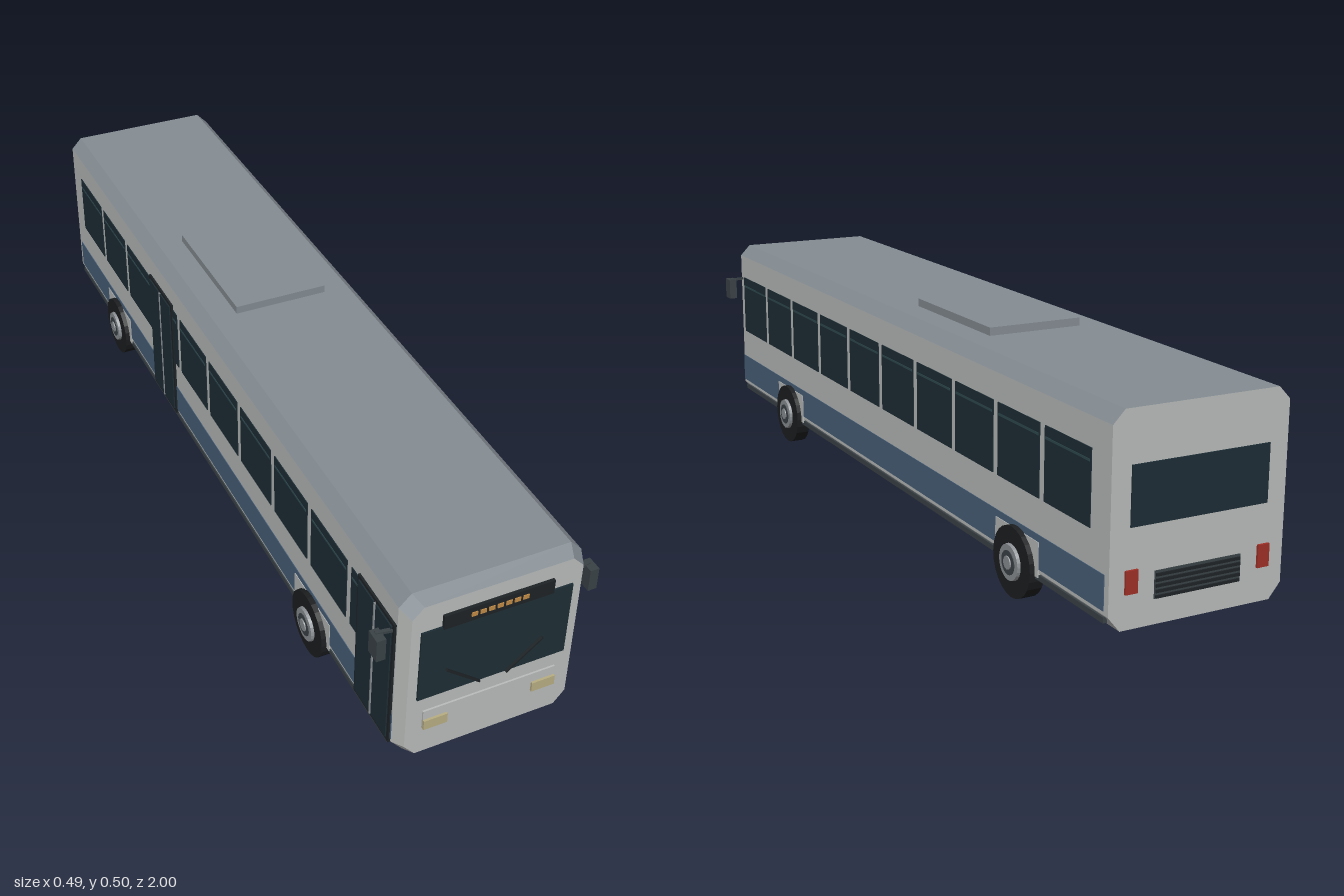
import * as THREE from 'three';

const mat = (color) => new THREE.MeshStandardMaterial({ color, flatShading: true });
const PAINT = mat(0xb9bcba), ROOF = mat(0x848c92), DARK = mat(0x1e2326), GLASS = mat(0x1d2d35),
  BLUE = mat(0x48607a), TRIM = mat(0x3a4246), STEEL = mat(0x8c9094), LAMP = mat(0xb8ad82),
  AMBER = mat(0xc08a45), RED = mat(0xa03028), RUBBER = mat(0x1c1e20), VENT = mat(0x2f4a50);

function add(parent, name, geometry, material, x = 0, y = 0, z = 0) {
  const mesh = new THREE.Mesh(geometry, material);
  mesh.name = name;
  mesh.position.set(x, y, z);
  parent.add(mesh);
  return mesh;
}

// Box given by its minimum and maximum on each axis
function box(parent, name, material, [x0, x1], [y0, y1], [z0, z1]) {
  const g = new THREE.BoxGeometry(Math.abs(x1 - x0), y1 - y0, z1 - z0);
  return add(parent, name, g, material, (x0 + x1) / 2, (y0 + y1) / 2, (z0 + z1) / 2);
}

// Octagonal body section, counter-clockwise seen from the front
const SECTION = [[-0.172, 0.048], [0.172, 0.048], [0.198, 0.08], [0.198, 0.45],
  [0.172, 0.477], [-0.172, 0.477], [-0.198, 0.45], [-0.198, 0.08]];
const ring = (z, sx = 1, sy = 1) => SECTION.map(([x, y]) => [x * sx, 0.263 + (y - 0.263) * sy, z]);
const RINGS = [ring(-0.995), ring(0.955), ring(0.986, 0.935, 0.94)];

// Skin strips along the chosen section edges
function skin(edges) {
  const pos = [];
  for (let r = 0; r < RINGS.length - 1; r++) {
    for (const e of edges) {
      const n = (e + 1) % 8;
      const a = RINGS[r][e], b = RINGS[r][n], c = RINGS[r + 1][n], d = RINGS[r + 1][e];
      pos.push(...a, ...b, ...c, ...a, ...c, ...d);
    }
  }
  const g = new THREE.BufferGeometry();
  g.setAttribute('position', new THREE.Float32BufferAttribute(pos, 3));
  g.computeVertexNormals();
  return g;
}

function cap(points, flip) {
  const g = new THREE.ShapeGeometry(new THREE.Shape(points.map(([x, y]) => new THREE.Vector2(x, y))));
  if (flip) g.rotateY(Math.PI);
  return g;
}

function buildBody(bus) {
  const body = new THREE.Group();
  body.name = 'body';
  bus.add(body);
  add(body, 'sidePanels', skin([1, 2, 6, 7]), PAINT);
  add(body, 'roof', skin([3, 4, 5]), ROOF);
  add(body, 'underside', skin([0]), DARK);
  add(body, 'frontPanel', cap(RINGS[2]), PAINT, 0, 0, 0.986);
  add(body, 'rearPanel', cap(RINGS[0], true), PAINT, 0, 0, -0.995);
  box(body, 'roofUnit', ROOF, [-0.112, 0.112], [0.47, 0.495], [-0.375, -0.025]);
}

// Stripe, windows and skirt on one side
function buildSide(bus, s) {
  const side = new THREE.Group();
  side.name = s > 0 ? 'leftSide' : 'rightSide';
  bus.add(side);
  const x = (out) => [s * 0.19, s * out];
  box(side, 'stripe', BLUE, x(0.1995), [0.088, 0.16], [-0.98, 0.955]);
  box(side, 'skirtRail', TRIM, x(0.199), [0.064, 0.076], [-0.98, 0.94]);
  for (let i = 0; i < 10; i++) {
    const z = 0.848 - i * 0.188;
    box(side, 'window', GLASS, x(0.2), [0.235, 0.39], [z - 0.084, z + 0.084]);
    box(side, 'windowVentBar', VENT, x(0.201), [0.363, 0.368], [z - 0.08, z + 0.08]);
  }
}

// Two-leaf door on the right side
function buildDoor(bus, zMid) {
  const door = new THREE.Group();
  door.name = 'door';
  bus.add(door);
  box(door, 'doorFrame', DARK, [-0.203, -0.185], [0.077, 0.403], [zMid - 0.077, zMid + 0.077]);
  for (const d of [-1, 1]) {
    const z = zMid + d * 0.037;
    box(door, 'doorLeaf', GLASS, [-0.206, -0.2], [0.087, 0.395], [z - 0.032, z + 0.032]);
  }
  box(door, 'doorSeal', STEEL, [-0.207, -0.2], [0.085, 0.395], [zMid - 0.002, zMid + 0.002]);
}

function buildWheel(bus, s, z) {
  box(bus, 'archPanel', PAINT, [s * 0.19, s * 0.201], [0.07, 0.145], [z - 0.088, z + 0.088]);
  const wheel = new THREE.Group();
  wheel.name = 'wheel';
  wheel.position.set(s * 0.195, 0.076, z);
  wheel.rotation.z = -s * Math.PI / 2;
  bus.add(wheel);
  add(wheel, 'tyre', new THREE.CylinderGeometry(0.076, 0.076, 0.034, 24), RUBBER);
  add(wheel, 'rim', new THREE.CylinderGeometry(0.038, 0.04, 0.01, 24), STEEL, 0, 0.019, 0);
  add(wheel, 'hubRecess', new THREE.CylinderGeometry(0.026, 0.026, 0.002, 20), TRIM, 0, 0.0245, 0);
  add(wheel, 'hubCap', new THREE.CylinderGeometry(0.014, 0.016, 0.008, 16), STEEL, 0, 0.024, 0);
}

function buildFront(bus) {
  const front = new THREE.Group();
  front.name = 'front';
  bus.add(front);
  box(front, 'windscreen', GLASS, [-0.165, 0.165], [0.218, 0.4], [0.975, 0.99]);
  box(front, 'destinationSign', DARK, [-0.12, 0.12], [0.396, 0.43], [0.975, 0.993]);
  for (let i = -3; i <= 3; i++) {
    const x = i * 0.0186;
    box(front, 'signSegment', AMBER, [x - 0.0065, x + 0.0065], [0.408, 0.418], [0.985, 0.995]);
  }
  box(front, 'bumperPanel', PAINT, [-0.149, 0.149], [0.135, 0.18], [0.975, 0.99]);
  for (const s of [-1, 1]) {
    box(front, 'headlight', LAMP, [s * 0.096, s * 0.149], [0.133, 0.157], [0.975, 0.995]);
    const wiper = add(front, 'wiper', new THREE.BoxGeometry(0.1, 0.004, 0.006), DARK, s * 0.068, 0.251, 0.993);
    wiper.rotation.z = s * Math.atan2(0.064, 0.077);
    // Mirror on its arm
    const arm = add(front, 'mirrorArm', new THREE.BoxGeometry(0.046, 0.006, 0.008), TRIM, s * 0.214, 0.385, 0.942);
    arm.rotation.y = s * 0.15;
    box(front, 'mirror', TRIM, [s * 0.224, s * 0.244], [0.333, 0.386], [0.928, 0.962]);
  }
}

function buildRear(bus) {
  const rear = new THREE.Group();
  rear.name = 'rear';
  bus.add(rear);
  box(rear, 'rearWindow', GLASS, [-0.155, 0.155], [0.25, 0.37], [-0.998, -0.985]);
  for (const s of [-1, 1]) {
    box(rear, 'tailLight', RED, [s * 0.137, s * 0.164], [0.12, 0.167], [-1, -0.985]);
  }
  box(rear, 'engineGrille', TRIM, [-0.098, 0.098], [0.1, 0.156], [-0.997, -0.985]);
  for (let i = 0; i < 5; i++) {
    const y = 0.104 + i * 0.011;
    box(rear, 'grilleSlat', DARK, [-0.096, 0.096], [y - 0.003, y + 0.003], [-1, -0.99]);
  }
}

export function createModel() {
  const bus = new THREE.Group();
  bus.name = 'cityBus';
  buildBody(bus);
  for (const s of [-1, 1]) {
    buildSide(bus, s);
    for (const z of [0.587, -0.655]) buildWheel(bus, s, z);
  }
  for (const z of [0.875, -0.299]) buildDoor(bus, z);
  buildFront(bus);
  buildRear(bus);
  return bus;
}
